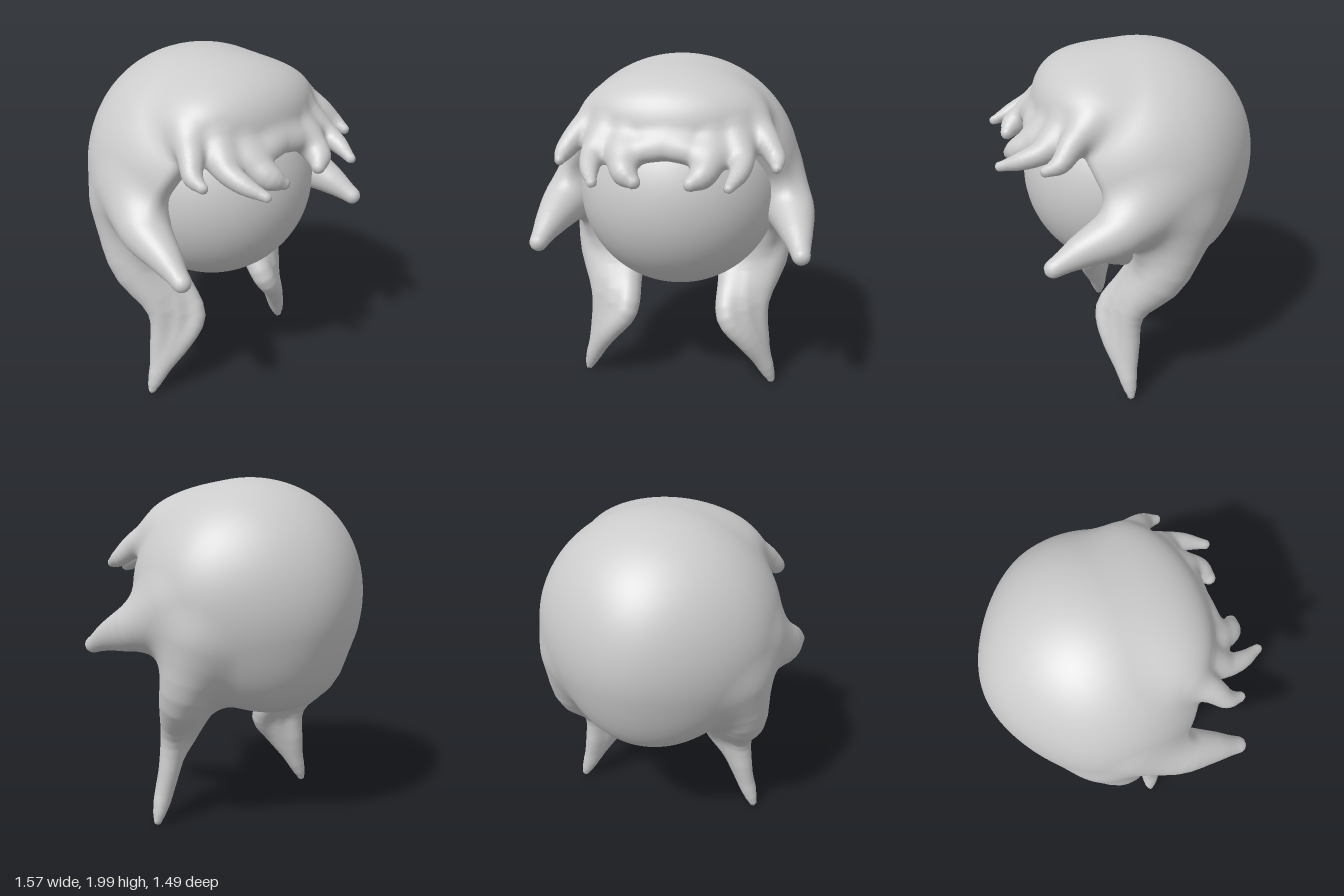
import * as THREE from 'three';

// Smooth union and smooth intersection of two distances
const smin = (a, b, k) => {
  const h = Math.max(k - Math.abs(a - b), 0) / k;
  return Math.min(a, b) - h * h * k * 0.25;
};
const smax = (a, b, k) => -smin(-a, -b, k);

// Distance to an ellipsoid
function ellipsoid(x, y, z, [cx, cy, cz], [rx, ry, rz]) {
  const px = (x - cx) / rx, py = (y - cy) / ry, pz = (z - cz) / rz;
  const k0 = Math.hypot(px, py, pz), k1 = Math.hypot(px / rx, py / ry, pz / rz);
  return k1 < 1e-6 ? -Math.min(rx, ry, rz) : (k0 * (k0 - 1)) / k1;
}

// Distance to a lock: a chain of round cones through points [x, y, z, radius]
function lock(x, y, z, pts) {
  let d = 1e3;
  for (let i = 0; i + 1 < pts.length; i++) {
    const a = pts[i], b = pts[i + 1];
    const ux = b[0] - a[0], uy = b[1] - a[1], uz = b[2] - a[2];
    const vx = x - a[0], vy = y - a[1], vz = z - a[2];
    const len = Math.sqrt(ux * ux + uy * uy + uz * uz);
    const along = (vx * ux + vy * uy + vz * uz) / len;
    const across = Math.sqrt(Math.max(0, vx * vx + vy * vy + vz * vz - along * along));
    const slope = THREE.MathUtils.clamp((b[3] - a[3]) / len, -0.95, 0.95);
    const t = Math.min(len, Math.max(0, along + (across * slope) / Math.sqrt(1 - slope * slope)));
    d = Math.min(d, Math.sqrt(across * across + (along - t) ** 2) - a[3] - ((b[3] - a[3]) * t) / len);
  }
  return d;
}

// Refine a lock's guide points and radii with smooth curves
function smoothLock(pts, n = 12) {
  const path = new THREE.CatmullRomCurve3(pts.map((p) => new THREE.Vector3(p[0], p[1], p[2])));
  const radius = new THREE.SplineCurve(pts.map((p) => new THREE.Vector2(p[3], 0)));
  return Array.from({ length: n + 1 }, (_, i) => [...path.getPoint(i / n).toArray(), radius.getPoint(i / n).x]);
}

// Guides for the left half; the hair is mirrored in x
const sideLock = smoothLock([[0.53, 1.3, -0.08, 0.17], [0.64, 1.185, 0.13, 0.14], [0.69, 1.105, 0.35, 0.087], [0.718, 1.035, 0.5, 0.05]]);
const tailOuter = smoothLock([[0.46, 1.14, -0.22, 0.2], [0.515, 0.82, -0.13, 0.14], [0.475, 0.55, 0.04, 0.075], [0.505, 0.3, 0.06, 0.056], [0.58, 0.03, 0.066, 0.023]], 14);
const tailInner = smoothLock([[0.35, 0.85, -0.14, 0.11], [0.315, 0.65, 0.03, 0.08], [0.312, 0.48, 0.155, 0.07], [0.41, 0.335, 0.155, 0.055], [0.535, 0.14, 0.085, 0.03]], 14);
const tailMiddle = tailOuter.map((p, i) => p.map((v, j) => (v + tailInner[i][j]) / 2));
const fringeLocks = [
  [[0.42, 1.68, 0.25, 0.1], [0.51, 1.61, 0.36, 0.07], [0.565, 1.54, 0.43, 0.05], [0.572, 1.51, 0.505, 0.028]],
  [[0.33, 1.64, 0.36, 0.1], [0.39, 1.55, 0.48, 0.068], [0.385, 1.5, 0.6, 0.05], [0.345, 1.458, 0.72, 0.027]],
  [[0.22, 1.62, 0.41, 0.09], [0.225, 1.54, 0.52, 0.082], [0.2, 1.485, 0.61, 0.068], [0.145, 1.45, 0.655, 0.037]],
].map((p) => smoothLock(p));
// Web joining the fringe locks across the brow
const fringeWeb = smoothLock([[0, 1.595, 0.49, 0.065], [0.1, 1.58, 0.505, 0.065], [0.22, 1.555, 0.51, 0.062], [0.36, 1.57, 0.45, 0.062]]);

// The whole hair as one sculpted volume
function hairField(px, y, z) {
  const x = Math.abs(px);
  // Cap, narrowing slightly to the back, with a full nape
  const cx = x / (1 - 0.85 * Math.max(0, -z - 0.25) ** 2);
  let d = ellipsoid(cx, y, z, [0, 1.335, -0.08], [0.69, 0.665, 0.667]);
  d = smin(d, ellipsoid(cx, y, z, [0, 1.06, -0.33], [0.42, 0.365, 0.305]), 0.1);
  // Face opening, leaning back toward the chin
  const opening = smin((z - 0.46 * (y - 0.89)) / 1.1, 1.58 - y, 0.05);
  d = smax(d, opening, 0.04);
  // Puffed fringe with its locks
  d = smin(d, ellipsoid(x, y, z, [0, 1.725, 0.22], [0.49, 0.21, 0.27]), 0.12);
  d = smin(d, lock(x, y, z, fringeWeb), 0.07);
  for (const f of fringeLocks) d = smin(d, lock(x, y, z, f), 0.045);
  // Cheek lock and hanging tail
  d = smin(d, lock(x, y, z, sideLock), 0.1);
  const blade = smin(lock(x, y, z, tailOuter), lock(x, y, z, tailInner), 0.05);
  return smin(d, smin(blade, lock(x, y, z, tailMiddle), 0.05), 0.1);
}

// Skin a field with a quad net: one vertex per crossed cell, one quad per crossed edge
function skin(field, min, max, step) {
  const n = min.map((m, i) => Math.ceil((max[i] - m) / step) + 1);
  const stride = [1, n[0], n[0] * n[1]];
  const val = new Float32Array(n[0] * n[1] * n[2]);
  const cell = new Int32Array(val.length).fill(-1);
  const each = (lo, hi, fn) => {
    for (let k = lo; k < n[2] - hi; k++)
      for (let j = lo; j < n[1] - hi; j++)
        for (let i = lo; i < n[0] - hi; i++) fn([i, j, k], i + j * stride[1] + k * stride[2]);
  };
  each(0, 0, (c, id) => {
    val[id] = field(min[0] + c[0] * step, min[1] + c[1] * step, min[2] + c[2] * step);
  });

  const gradient = (p) => {
    const e = 0.01;
    return new THREE.Vector3(
      field(p.x + e, p.y, p.z) - field(p.x - e, p.y, p.z),
      field(p.x, p.y + e, p.z) - field(p.x, p.y - e, p.z),
      field(p.x, p.y, p.z + e) - field(p.x, p.y, p.z - e)).divideScalar(2 * e);
  };
  const pos = [], nor = [], index = [];
  each(0, 1, (c, id) => {
    const sum = [0, 0, 0];
    let hits = 0;
    for (let a = 0; a < 3; a++) {
      const b = (a + 1) % 3, d = (a + 2) % 3;
      for (let q = 0; q < 4; q++) {
        const ob = q & 1, od = q >> 1, s = id + ob * stride[b] + od * stride[d];
        const v0 = val[s], v1 = val[s + stride[a]];
        if (v0 < 0 === v1 < 0) continue;
        sum[a] += v0 / (v0 - v1);
        sum[b] += ob;
        sum[d] += od;
        hits++;
      }
    }
    if (!hits) return;
    const p = new THREE.Vector3(...sum.map((s, i) => min[i] + (c[i] + s / hits) * step));
    // Settle the vertex onto the surface
    let g = gradient(p);
    const move = field(p.x, p.y, p.z) / Math.max(g.lengthSq(), 0.2);
    p.addScaledVector(g, -THREE.MathUtils.clamp(move, -step / 2, step / 2));
    g = gradient(p).normalize();
    cell[id] = pos.length / 3;
    pos.push(p.x, p.y, p.z);
    nor.push(g.x, g.y, g.z);
  });
  each(1, 1, (c, id) => {
    for (let a = 0; a < 3; a++) {
      const inside = val[id] < 0;
      if (inside === val[id + stride[a]] < 0) continue;
      const sb = stride[(a + 1) % 3], sd = stride[(a + 2) % 3];
      const q = [cell[id - sb - sd], cell[id - sd], cell[id], cell[id - sb]];
      if (!inside) q.reverse();
      index.push(q[0], q[1], q[2], q[0], q[2], q[3]);
    }
  });
  const geo = new THREE.BufferGeometry();
  geo.setAttribute('position', new THREE.Float32BufferAttribute(pos, 3));
  geo.setAttribute('normal', new THREE.Float32BufferAttribute(nor, 3));
  geo.setIndex(index);
  return geo;
}

export function createModel() {
  const group = new THREE.Group();
  const material = new THREE.MeshStandardMaterial({ color: 0xcccccc });

  // Plain round head
  const head = new THREE.Mesh(new THREE.SphereGeometry(0.583, 64, 40), material);
  head.position.set(0, 1.255, -0.005);
  head.name = 'head';
  group.add(head);

  // Hair with fringe, cheek locks and two tails
  const hair = new THREE.Mesh(skin(hairField, [-0.86, -0.05, -0.82], [0.86, 2.07, 0.82], 0.02), material);
  hair.name = 'hair';
  group.add(hair);
  return group;
}
